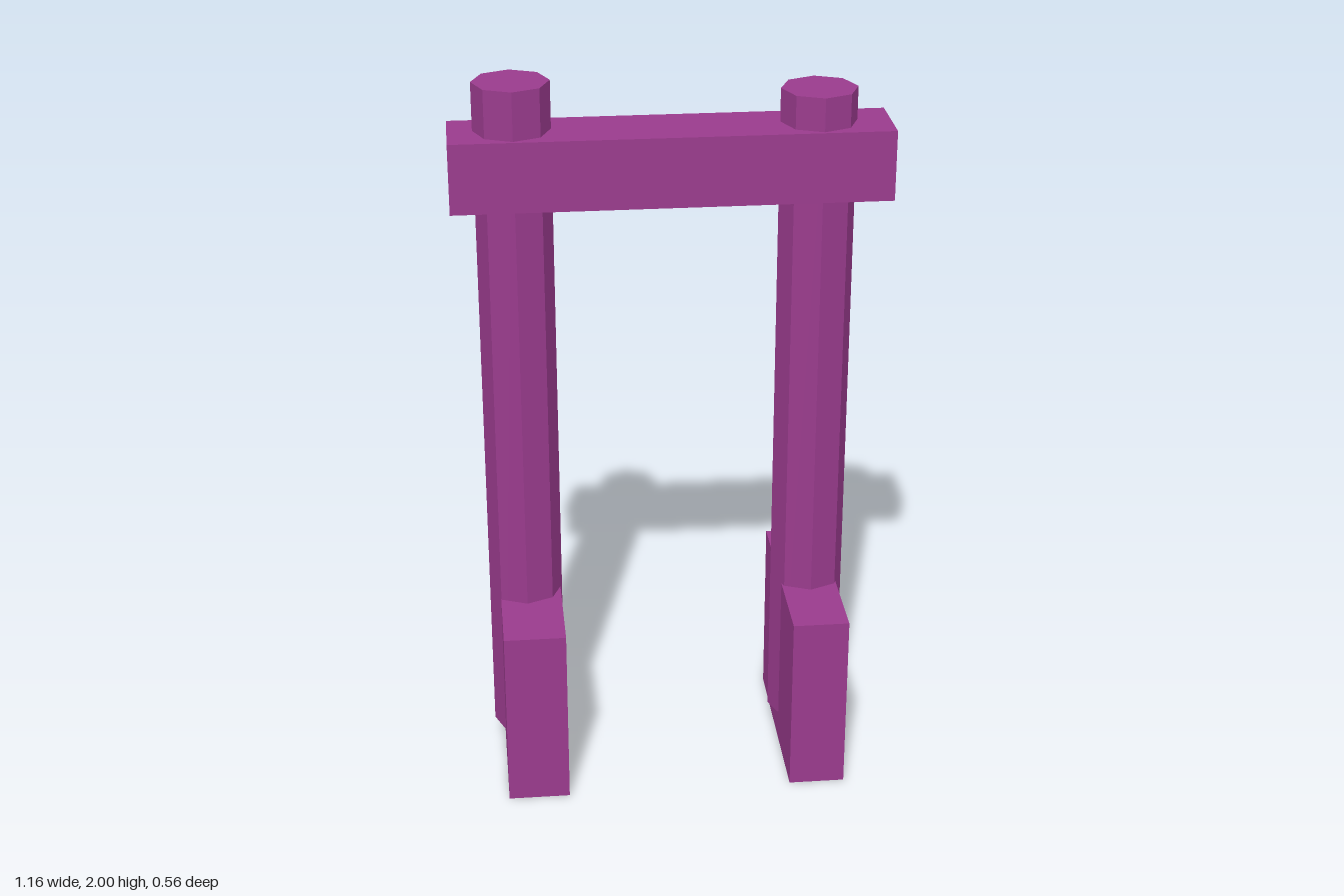
import * as THREE from 'three';

export function createModel() {
  const model = new THREE.Group();
  model.name = 'gateFrame';

  const purple = new THREE.MeshStandardMaterial({ color: 0x9a3b8d, flatShading: true });
  purple.name = 'purple';

  const add = (name, geometry, x, y, z) => {
    const mesh = new THREE.Mesh(geometry, purple);
    mesh.name = name;
    mesh.position.set(x, y, z);
    model.add(mesh);
  };

  // Box given by its lower and upper corners
  const addBox = (name, [x0, y0, z0], [x1, y1, z1]) =>
    add(name, new THREE.BoxGeometry(x1 - x0, y1 - y0, z1 - z0),
      (x0 + x1) / 2, (y0 + y1) / 2, (z0 + z1) / 2);

  // Octagonal post
  const addPost = (name, x, bottom, top) =>
    add(name, new THREE.CylinderGeometry(0.102, 0.102, top - bottom, 8),
      x, (bottom + top) / 2, -0.02);

  // Posts of slightly different height
  addPost('rightPost', -0.412, 0.083, 2);
  addPost('leftPost', 0.391, 0.083, 1.96);

  // Foot blocks
  addBox('rightFoot', [-0.485, 0, -0.278], [-0.315, 0.517, 0.278]);
  addBox('leftFoot', [0.313, 0, -0.278], [0.468, 0.517, 0.278]);

  // Crossbeam
  addBox('crossbeam', [-0.58, 1.68, -0.11], [0.58, 1.87, 0.09]);

  return model;
}
